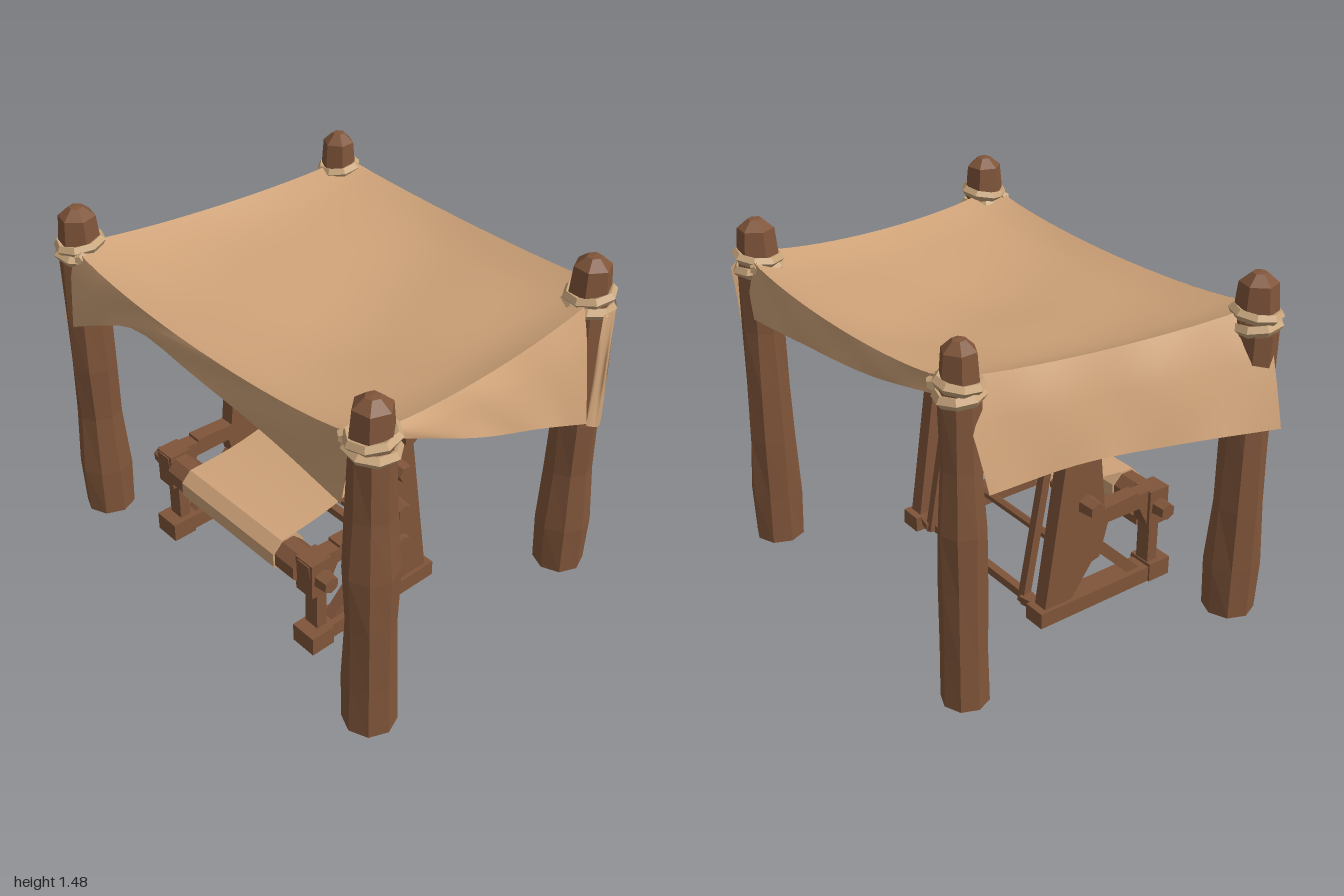
import * as THREE from 'three';

const mat = (name, color, extra = {}) => Object.assign(new THREE.MeshStandardMaterial({ color, ...extra }), { name });
const V = (x, y, z) => new THREE.Vector3(x, y, z);
const lerp = THREE.MathUtils.lerp;

export function createModel() {
  const wood = mat('brown wood', 0x80553a, { flatShading: true });
  const canvas = mat('tan canvas', 0xcea278, { side: THREE.DoubleSide });
  const rope = mat('pale rope', 0xc9a67c, { flatShading: true });
  const rolled = mat('rolled cloth', 0xcea279, { flatShading: true });

  let seed = 7;
  const rand = () => ((seed = (seed * 16807) % 2147483647) / 2147483647);

  const model = new THREE.Group();
  const add = (parent, name, geo, material) => {
    const m = new THREE.Mesh(geo, material);
    m.name = name;
    parent.add(m);
    return m;
  };
  const group = (name) => {
    const g = new THREE.Group();
    g.name = name;
    model.add(g);
    return g;
  };

  // Straight bar between two points; four sides gives a square beam
  const bar = (parent, name, a, b, r, sides = 4, material = wood, rEnd = r) => {
    const k = sides === 4 ? Math.SQRT2 : 1;
    const geo = new THREE.CylinderGeometry(rEnd * k, r * k, a.distanceTo(b), sides, 1, false, Math.PI / sides);
    const m = add(parent, name, geo, material);
    m.position.copy(a).lerp(b, 0.5);
    m.quaternion.setFromUnitVectors(V(0, 1, 0), b.clone().sub(a).normalize());
    return m;
  };
  const box = (parent, name, w, h, d, x, y, z) =>
    add(parent, name, new THREE.BoxGeometry(w, h, d), wood).position.set(x, y, z);

  // Hewn corner posts with six-sided heads and rope lashings
  const posts = [
    { xb: -0.825, xt: -0.83, z: 0.61, s: 1 },
    { xb: 0.89, xt: 0.875, z: 0.61, s: 1 },
    { xb: -0.665, xt: -0.65, z: -0.61, s: 0.88 },
    { xb: 0.77, xt: 0.77, z: -0.605, s: 1 },
  ];
  const shaft = [[0, 0], [0.107, 0], [0.108, 0.22], [0.099, 0.5], [0.1, 0.75], [0.09, 1.0], [0.088, 1.25], [0.08, 1.33], [0, 1.33]];
  const head = [[0.088, 1.3], [0.075, 1.44], [0.03, 1.478], [0, 1.482]];
  const lathe = (pts, s, n) => new THREE.LatheGeometry(pts.map(([r, y]) => new THREE.Vector2(r * s, y)), n);
  posts.forEach(({ xb, xt, z, s }, i) => {
    const g = group('cornerPost');
    const geo = lathe(shaft, s, 8);
    const p = geo.attributes.position;
    for (let j = 0; j < p.count; j++) {
      const x = p.getX(j), y = p.getY(j), w = p.getZ(j);
      const rough = y > 0.1 && y < 1.3 ? 0.07 : 0;
      const k = 1 + rough * Math.sin(y * 7 + i * 2 + (x * 14 + w * 9));
      p.setXYZ(j, x * k + lerp(xb, xt, y / 1.48), y, w * k + z);
    }
    add(g, 'post', geo, wood);
    const top = add(g, 'postHead', lathe(head, s, 6), wood);
    top.position.set(xt, 0, z);
    top.rotation.y = 0.3 + i * 0.4;
    [[1.275, 0.3, 0.025], [1.322, -0.8, 0.023]].forEach(([y, turn, tube], n) => {
      const t = add(g, 'ropeLashing', new THREE.TorusGeometry(0.084 * s, tube, 5, 8), rope);
      t.rotation.set(Math.PI / 2 + (n ? 0.1 : -0.08), n ? 0.08 : -0.06, turn + i);
      t.position.set(xt, y, z);
    });
    const knot = add(g, 'ropeKnot', new THREE.DodecahedronGeometry(0.03), rope);
    knot.position.set(xt - Math.sign(xt) * 0.08, 1.3, z + Math.sign(z) * 0.05);
  });

  // Sheet from a point function over u, v in 0..1
  const sheet = (parent, name, fn, nu, nv) => {
    const pos = [], idx = [];
    for (let j = 0; j <= nv; j++) for (let i = 0; i <= nu; i++) pos.push(...fn(i / nu, j / nv).toArray());
    for (let j = 0; j < nv; j++) for (let i = 0; i < nu; i++) {
      const a = j * (nu + 1) + i, c = a + nu + 1;
      idx.push(a, c, a + 1, a + 1, c, c + 1);
    }
    const geo = new THREE.BufferGeometry();
    geo.setAttribute('position', new THREE.Float32BufferAttribute(pos, 3));
    geo.setIndex(idx);
    geo.computeVertexNormals();
    return add(parent, name, geo, canvas);
  };

  // Sagging canopy: v = 0 is the back edge, v = 1 the front edge
  const BL = V(-0.65, 1.355, -0.655), BR = V(0.81, 1.355, -0.65), FL = V(-0.81, 1.345, 0.66), FR = V(0.865, 1.345, 0.655);
  const roof = (u, v) => {
    const p = BL.clone().lerp(BR, u).lerp(FL.clone().lerp(FR, u), v);
    const a = Math.pow(4 * u * (1 - u), 0.65), b = Math.pow(4 * v * (1 - v), 0.65);
    const bowl = Math.pow(16 * u * (1 - u) * v * (1 - v), 0.9);
    p.y -= a * lerp(0.055, 0.09, v) + b * lerp(0.045, 0.08, u) + bowl * 0.05;
    p.y += bowl * 0.018 * Math.sin(u * 9 + v * 4) * Math.cos(v * 8 - u * 3);
    p.z += a * lerp(-0.035, 0.015, v);
    return p;
  };
  const canopy = group('canopy');
  sheet(canopy, 'canopyTop', roof, 18, 18);

  // Hanging flaps: from a canopy edge, out and down to a free lower edge
  const flap = (name, edge, lower, folds = 0.008) => {
    const curve = new THREE.CatmullRomCurve3(lower.map((p) => V(...p)));
    sheet(canopy, name, (t, d) => {
      const a = edge(t), b = curve.getPoint(t), out = Math.pow(d, 0.7);
      const f = folds * Math.sin(t * 17) * d * (1 - d) * 4;
      return V(lerp(a.x, b.x, out) + f, lerp(a.y, b.y, d), lerp(a.z, b.z, out) + f);
    }, 16, 5);
  };
  flap('frontFlap', (t) => roof(t, 1), [[-0.79, 0.98, 0.71], [-0.6, 1.07, 0.69], [-0.37, 1.155, 0.68],
    [0, 1.13, 0.68], [0.4, 1.08, 0.67], [0.78, 1.0, 0.66]]);
  flap('backFlap', (t) => roof(t, 0), [[-0.6, 1.27, -0.67], [-0.2, 1.19, -0.69], [0.3, 1.13, -0.69], [0.7, 1.08, -0.68]]);
  flap('rightFlap', (t) => roof(0, t), [[-0.78, 0.93, -0.58], [-0.82, 0.945, -0.2], [-0.89, 0.92, 0.2], [-0.99, 0.89, 0.63]]);
  flap('leftFlap', (t) => roof(1, lerp(0.1, 1, t)), [[0.92, 0.85, -0.48], [0.925, 0.97, -0.2], [0.915, 1.09, 0.13], [0.87, 1.29, 0.58]]);
  // Loose corner of canvas folded round the back left post
  const fold = new THREE.CatmullRomCurve3([V(0.87, 1.28, -0.57), V(0.87, 1.28, -0.64), V(0.81, 1.28, -0.71)]);
  flap('foldedCorner', (t) => fold.getPoint(t), [[0.92, 0.84, -0.48], [0.92, 0.8, -0.56], [0.88, 0.8, -0.63]], 0.012);

  // Loom side frames
  const loom = group('loom');
  const outline = [[0.155, 0.91], [0.04, 0.915], [0.02, 0.85], [-0.09, 0.06], [0.04, 0.06], [0.15, 0.21], [0.19, 0.22],
    [0.23, 0.37], [0.4, 0.37], [0.45, 0.27], [0.54, 0.27], [0.55, 0.43], [0.45, 0.44], [0.39, 0.435], [0.39, 0.45], [0.21, 0.44]];
  const frameGeo = new THREE.ExtrudeGeometry(new THREE.Shape(outline.map(([z, y]) => new THREE.Vector2(z, y))),
    { depth: 0.066, bevelEnabled: false });
  frameGeo.rotateY(-Math.PI / 2).translate(0.033, 0, 0);
  const mid = -0.007;
  for (const s of [-1, 1]) {
    const x = mid + s * 0.45;
    add(loom, 'sideFrame', frameGeo, wood).position.x = x;
    box(loom, 'foot', 0.1, 0.07, 0.67, x, 0.035, 0.215);
    box(loom, 'frontFoot', 0.12, 0.085, 0.11, s * 0.455, 0.0425, 0.51);
    box(loom, 'frontLeg', 0.07, 0.23, 0.05, x, 0.17, 0.485);
    box(loom, 'rollerBlock', 0.095, 0.165, 0.1, x, 0.355, 0.495);
    bar(loom, 'diagonalBrace', V(x, 0.05, 0.41), V(x, 0.27, 0.19), 0.024);
    bar(loom, 'backLeg', V(mid + s * 0.335, 0.03, -0.085), V(mid + s * 0.335, 0.86, 0.06), 0.018);
    bar(loom, 'topBrace', V(mid + s * 0.42, 0.84, 0.09), V(mid + s * 0.33, 0.68, 0.1), 0.018);
    bar(loom, 'footTie', V(x, 0.05, -0.06), V(mid + s * 0.335, 0.05, -0.085), 0.022);
  }

  // Cross beams as [y, z, radius, sides, start x, end x, peg sides]
  const beams = [
    [0.86, 0.09, 0.034, 4, -0.54, 0.52, [-1, 1]],
    [0.695, 0.11, 0.022, 6, -0.42, 0.52, [1]],
    [0.5, 0.11, 0.024, 6, -0.54, 0.52, [-1, 1]],
    [0.28, 0.06, 0.02, 6, -0.48, 0.47, []],
    [0.355, 0.495, 0.035, 6, -0.54, 0.52, [-1, 1]],
  ];
  beams.forEach(([y, z, r, sides, x0, x1, pegs], i) => {
    bar(loom, 'crossBeam', V(x0, y, z), V(x1, y, z), r, sides);
    for (const s of pegs) bar(loom, 'peg', V(mid + s * 0.48, y, z), V(mid + s * 0.555, y, z), 0.044, 6, wood, 0.036).rotateY(i * 0.5);
  });
  bar(loom, 'pegHead', V(0.46, 0.28, 0.06), V(0.5, 0.28, 0.06), 0.042, 6, wood, 0.034);
  bar(loom, 'frontRail', V(-0.42, 0.255, 0.47), V(0.41, 0.255, 0.47), 0.018);
  bar(loom, 'lowRail', V(-0.36, 0.042, -0.06), V(0.34, 0.042, -0.06), 0.018);

  // Cloth roller and the woven cloth running up to the heddle bar
  bar(loom, 'roller', V(-0.41, 0.355, 0.495), V(0.4, 0.355, 0.495), 0.074, 8);
  bar(loom, 'clothRoll', V(-0.3, 0.355, 0.495), V(0.29, 0.355, 0.495), 0.083, 8, rolled);
  sheet(loom, 'wovenCloth', (u, v) => V(lerp(-0.3 + v * 0.02, 0.29, u),
    lerp(0.432, 0.49, v) - 0.012 * Math.sin(v * Math.PI), lerp(0.5, 0.13, v)), 4, 6);

  // Wound yarn on both bars and the hanging warp threads
  for (let i = 0; i < 12; i++) {
    const x = -0.285 + i * 0.049;
    for (const y of [0.69, 0.503]) {
      const r = 0.027 + rand() * 0.012;
      bar(loom, 'woundYarn', V(x, y, 0.11), V(x + 0.047, y + (rand() - 0.5) * 0.016, 0.11), r, 6, rope, r * 0.88);
    }
  }
  for (let i = 0; i < 36; i++) {
    const x = -0.275 + i * 0.0163, z = 0.11 + (i % 2 ? 0.026 : -0.018);
    bar(loom, 'warpThread', V(x, 0.69, z), V(x + (rand() - 0.5) * 0.03, 0.525 + rand() * 0.03, 0.11 + (rand() - 0.5) * 0.04),
      0.009, 4, rope, 0.003);
  }
  return model;
}
